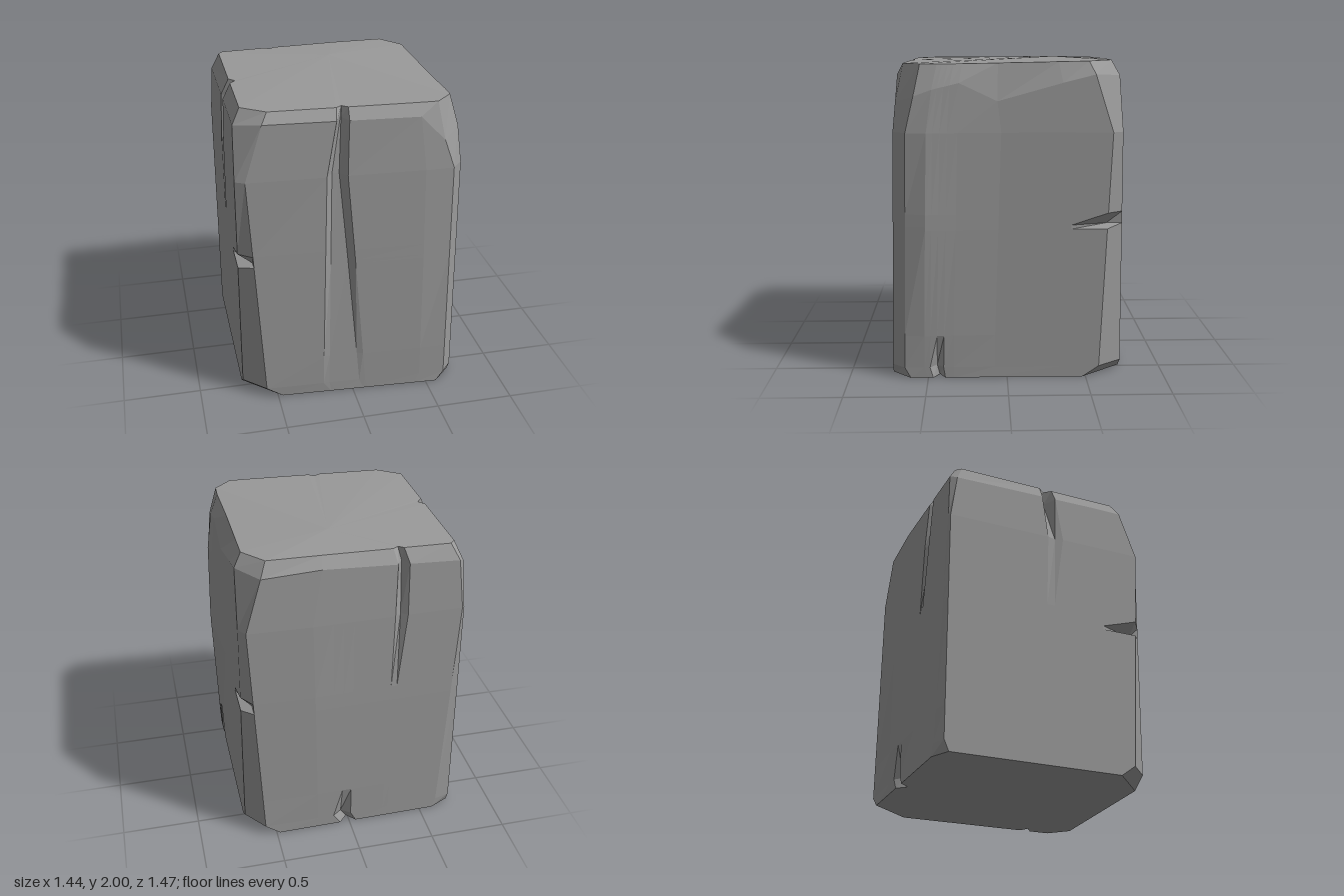
import * as THREE from 'three';

// Ring heights below the rim; the rim and cap rings follow
const LEVELS = [0, 0.07, 0.28, 0.96, 0.985, 1.06, 1.56];
const RIM = LEVELS.length, CAP = RIM + 1, NICK = 4;

// Vertical edges of the worn corners: foot x z, shoulder x z, rim height, wear
const corner = (x0, z0, x1, z1, rimY, wear) => ({ x0, z0, x1, z1, rimY, wear });
// A chip is deepest at height y0 and fades out at y1, where its floor is 2 * spread wide
const chip = (t, half, y0, y1, depth, spread = 0) => ({ t, half, y0, y1, depth, spread });

// Sides in order round the block; bends are [position along side, rim height, bulge]
const SIDES = [
  { name: 'front', out: [0, 1], nick: 0,
    start: corner(-0.57, 0.67, -0.66, 0.66, 1.91, 0.1), end: corner(0.62, 0.73, 0.62, 0.7, 1.74, 0.05),
    bends: [[0.86, 1.9, 0.015]], chips: [chip(0.433, 0.035, 1.9, 0, 0.07, 0.085)] },
  { name: 'right', out: [1, 0], nick: 0.07,
    start: corner(0.69, 0.65, 0.69, 0.62, 1.78, 0.04), end: corner(0.69, -0.58, 0.68, -0.65, 1.91, 0.1),
    bends: [[0.1, 1.82, 0.035], [0.25, 1.86, 0.015], [0.46, 1.75, -0.005], [0.82, 1.86, 0]],
    chips: [chip(0.165, 0.035, 0, 0.28, 0.07)] },
  { name: 'back', out: [0, -1], nick: 0,
    start: corner(0.57, -0.735, 0.64, -0.715, 1.9, 0.09), end: corner(-0.61, -0.72, -0.7, -0.7, 1.88, 0.02),
    bends: [[0.3, 1.92, 0.02]],
    chips: [chip(0.44, 0.05, 0, 0.28, 0.06), chip(0.71, 0.03, 1.9, 1.2, 0.06)] },
  { name: 'left', out: [-1, 0], nick: 0.09,
    start: corner(-0.715, -0.69, -0.715, -0.69, 1.86, 0.03), end: corner(-0.715, 0.53, -0.72, 0.63, 1.88, 0.09),
    bends: [[0.82, 1.88, 0]], chips: [chip(0.55, 0.04, 1.9, 1.5, 0.09)] },
];

const { lerp, clamp } = THREE.MathUtils;
const ringHeight = (level) => LEVELS[level] ?? 1.9;

// Corner edge at a ring: worn away from the corner at foot and rim, drawn in on top
function edgePoint(c, level, out, direction) {
  const h = Math.min(1, ringHeight(level) / 1.56);
  const slide = level === 0 || level >= RIM ? c.wear * direction : 0;
  const scale = level === CAP ? 0.91 : level === RIM ? 0.98 : 1;
  // out is the side's normal, so (out z, -out x) runs along the side
  return [(lerp(c.x0, c.x1, h) + out[1] * slide) * scale, (lerp(c.z0, c.z1, h) - out[0] * slide) * scale];
}

// Rim height or bulge between two bends
function along(knots, t, item) {
  const i = Math.max(1, knots.findIndex((k) => k[0] >= t));
  const [a, b] = [knots[i - 1], knots[i]];
  return lerp(a[item], b[item], (t - a[0]) / (b[0] - a[0]));
}

// Columns of points that make one side, from its first edge to its second
function sideColumns({ start, end, out, nick, bends, chips }) {
  const knots = [[0, start.rimY, 0], ...bends, [1, end.rimY, 0]];
  const lines = knots.map(([t]) => ({ t, shift: () => 0, dent: (level) => (t === 1 && level === NICK ? nick : 0) }));

  for (const { t, half, y0, y1, depth, spread } of chips) {
    const fade = (level) => clamp((ringHeight(level) - y0) / (y1 - y0), 0, 1);
    const floor = (level) => depth * (1 - fade(level)) * (level === CAP ? 0.4 : 1);
    for (const s of [-1, 1]) {
      lines.push({ t: t + s * half, shift: (level) => s * spread * fade(level), dent: () => 0 });
      if (spread) lines.push({ t: t + s * 0.002, shift: (level) => s * spread * fade(level), dent: floor });
    }
    if (!spread) lines.push({ t, shift: () => 0, dent: floor });
  }

  lines.sort((a, b) => a.t - b.t);
  return lines.map(({ t, shift, dent }) => {
    const column = [];
    for (let level = 0; level <= CAP; level++) {
      const a = edgePoint(start, level, out, 1), b = edgePoint(end, level, out, -1);
      const u = t + shift(level);
      const swell = Math.sin(Math.PI * ringHeight(level) / 2);
      const push = along(knots, t, 2) * swell - dent(level);
      const x = lerp(a[0], b[0], u) + out[0] * push;
      const z = lerp(a[1], b[1], u) + out[1] * push;
      const capY = 1.973 + 0.02 * clamp(0.3 - z, 0, 1) * clamp(x + 0.7, 0, 1);
      column.push([x, level === CAP ? capY : level === RIM ? along(knots, t, 1) : LEVELS[level], z]);
    }
    return column;
  });
}

function meshFrom(name, triangles, material) {
  const geometry = new THREE.BufferGeometry();
  geometry.setAttribute('position', new THREE.Float32BufferAttribute(triangles.flat(2), 3));
  geometry.computeVertexNormals();
  const mesh = new THREE.Mesh(geometry, material);
  mesh.name = name;
  return mesh;
}

export function createModel() {
  const stone = new THREE.MeshStandardMaterial({ color: 0x999999, flatShading: true });
  stone.name = 'grey stone';
  const group = new THREE.Group();
  group.name = 'chippedStoneBlock';

  const sides = SIDES.map(sideColumns);
  const top = [], base = [];
  const peak = [0.06, 2, -0.33], foot = [0, 0, 0];
  sides.forEach((columns, s) => {
    // Each side also carries the corner facet leading to the next side
    const wall = [];
    const ring = [...columns, sides[(s + 1) % sides.length][0]];
    for (let i = 0; i < columns.length; i++) {
      const p = ring[i], q = ring[i + 1];
      for (let k = 0; k < CAP; k++) {
        wall.push([p[k], q[k], q[k + 1]], [p[k], q[k + 1], p[k + 1]]);
      }
      top.push([p[CAP], q[CAP], peak]);
      base.push([q[0], p[0], foot]);
    }
    group.add(meshFrom(SIDES[s].name + 'Side', wall, stone));
  });
  group.add(meshFrom('wornTop', top, stone), meshFrom('flatBase', base, stone));
  return group;
}
